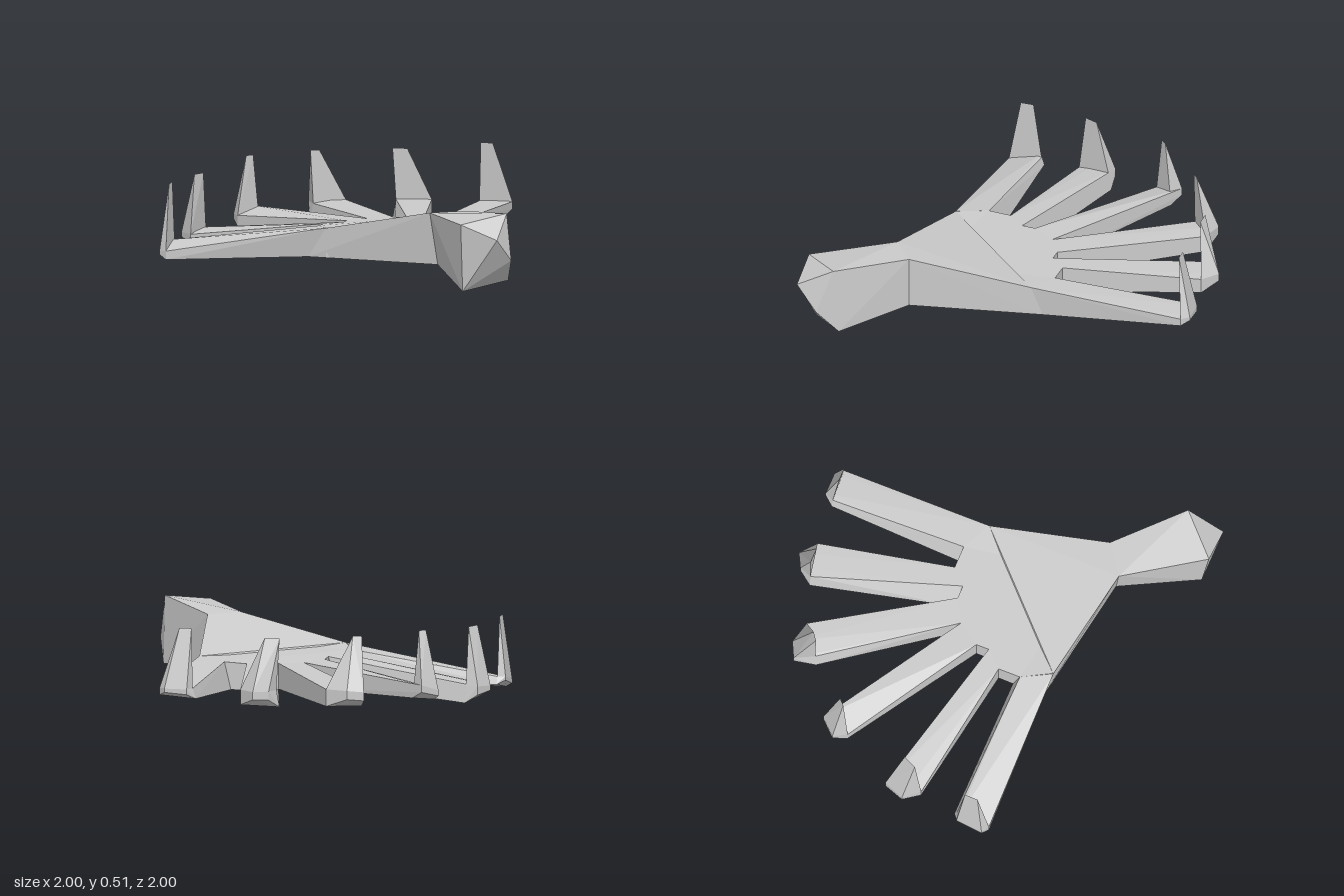
import * as THREE from 'three';
import { ConvexGeometry } from 'three/addons/geometries/ConvexGeometry.js';

const BASE = 0.08; // underside of the palm

// height of the palm's front: level at the crease, falling gently to the finger roots
const palmTop = (x, z) => 0.237 + 0.05 * Math.min(0, x + z - 0.38);

export function createModel() {
  const model = new THREE.Group();
  const material = new THREE.MeshStandardMaterial({ color: 0xcccccc, flatShading: true });
  const add = (name, geometry, parent = model) => {
    const mesh = new THREE.Mesh(geometry, material);
    mesh.name = name;
    parent.add(mesh);
  };
  const hull = (points) => new ConvexGeometry(points.map((p) => new THREE.Vector3(...p)));

  // wrist corners shared by the handle and the palm
  const wrist = [[0.49, 0.355, 0.605], [0.645, 0.355, 0.49], [0.525, BASE, 0.575], [0.645, BASE, 0.49]];

  // faceted stub handle
  add('handle', hull([
    ...wrist,
    [0.76, 0.355, 1], [0.955, 0.395, 0.8], [0.955, 0.04, 0.77], [0.76, 0, 0.96],
    [1, 0.16, 0.88], [0.955, 0.28, 1],
  ]));

  // sloping back of the palm, from the wrist to the crease
  add('palmBack', hull([
    ...wrist,
    [0.525, 0.237, -0.14], [0.515, BASE, -0.2], [-0.1, 0.237, 0.485], [-0.2, BASE, 0.46],
  ]));

  // front of the palm, with the webs between the fingers, reaching in under the back
  const outline = [
    [0.525, -0.14], [0.37, -0.22], [0.25, -0.22], [0.17, -0.14], [0.1, -0.14], [-0.02, -0.07],
    [-0.1, 0.05], [-0.1, 0.12], [-0.18, 0.21], [-0.18, 0.33], [-0.1, 0.48], [0.48, 0.45],
  ];
  const shape = new THREE.Shape(outline.map((p) => new THREE.Vector2(...p)));
  const front = new THREE.ExtrudeGeometry(shape, { depth: 1, bevelEnabled: false }).rotateX(Math.PI / 2);
  const pos = front.attributes.position;
  for (let i = 0; i < pos.count; i++) {
    pos.setY(i, pos.getY(i) > -0.5 ? palmTop(pos.getX(i), pos.getZ(i)) : BASE);
  }
  front.computeVertexNormals();
  add('palmFront', front);

  // fingers, edges as [x, z] pairs with the inner side first:
  // root underside, root top, tip and blunt end; low and top are the tip's
  // heights on each side; peak and high give the claw's upper edge
  const fingers = [
    { root: [[0.335, -0.22], [0.515, -0.2]], rootTop: [[0.37, -0.22], [0.525, -0.14]],
      tip: [[0.335, -0.95], [0.525, -0.96]], end: [[0.37, -1], [0.49, -1]],
      low: [0.145, 0.16], top: [0.2, 0.2], peak: [[0.365, -0.92], [0.43, -0.92]], high: 0.51 },
    { root: [[0.1, -0.14], [0.25, -0.22]], rootTop: [[0.17, -0.14], [0.25, -0.22]],
      tip: [[-0.1, -0.89], [0.1, -0.93]], end: [[-0.06, -0.96], [0.015, -1]],
      low: [0.11, 0.12], top: [0.2, 0.2], peak: [[-0.1, -0.885], [-0.02, -0.885]], high: 0.47 },
    { root: [[-0.02, -0.07], [0.1, -0.14]], rootTop: [[-0.02, -0.07], [0.1, -0.14]],
      tip: [[-0.49, -0.69], [-0.33, -0.81]], end: [[-0.53, -0.8], [-0.45, -0.84]],
      low: [0.1, 0.11], top: [0.19, 0.2], peak: [[-0.49, -0.69], [-0.45, -0.72]], high: 0.47 },
    { root: [[-0.02, -0.07], [-0.1, 0.05]], rootTop: [[-0.02, -0.07], [-0.1, 0.05]],
      tip: [[-0.71, -0.49], [-0.8, -0.38]], end: [[-0.77, -0.53], [-0.84, -0.45]],
      low: [0.12, 0.1], top: [0.195, 0.16], peak: [[-0.735, -0.45], [-0.765, -0.42]], high: 0.47 },
    { root: [[-0.15, 0.085], [-0.18, 0.21]], rootTop: [[-0.1, 0.12], [-0.18, 0.21]],
      tip: [[-0.89, -0.1], [-0.93, 0.09]], end: [[-0.96, -0.1], [-1, 0.01]],
      low: [0.04, 0.07], top: [0.13, 0.12], peak: [[-0.89, -0.02], [-0.92, 0.05]], high: 0.43 },
    { root: [[-0.18, 0.29], [-0.2, 0.46]], rootTop: [[-0.18, 0.33], [-0.1, 0.485]],
      tip: [[-0.96, 0.29], [-0.96, 0.485]], end: [[-1, 0.32], [-1, 0.46]],
      low: [0.08, 0.04], top: [0.12, 0.085], peak: [[-0.96, 0.35], [-0.96, 0.42]], high: 0.43 },
  ];
  const lift = (edge, height) => edge.map(([x, z], i) => [x, height(i, x, z), z]);

  fingers.forEach(({ root, rootTop, tip, end, low, top, peak, high }, n) => {
    const finger = new THREE.Group();
    finger.name = `finger${n + 1}`;
    model.add(finger);

    // top of the tip, its inner corner drawn in a little
    const inner = tip[0].map((v, i) => v + 0.08 * (tip[1][i] - v));
    const tipTop = [...lift([inner, tip[1]], (i) => top[i]), ...lift(end, (i) => top[i])];

    add('fingerShaft', hull([
      ...lift(root, () => BASE),
      ...lift(rootTop, (i, x, z) => palmTop(x, z)),
      ...lift(tip, (i) => low[i]),
      ...lift(end, (i) => (low[i] + top[i]) / 2),
      ...tipTop,
    ]), finger);

    // upturned claw
    add('claw', hull([...tipTop, ...lift(peak, () => high)]), finger);
  });

  return model;
}
